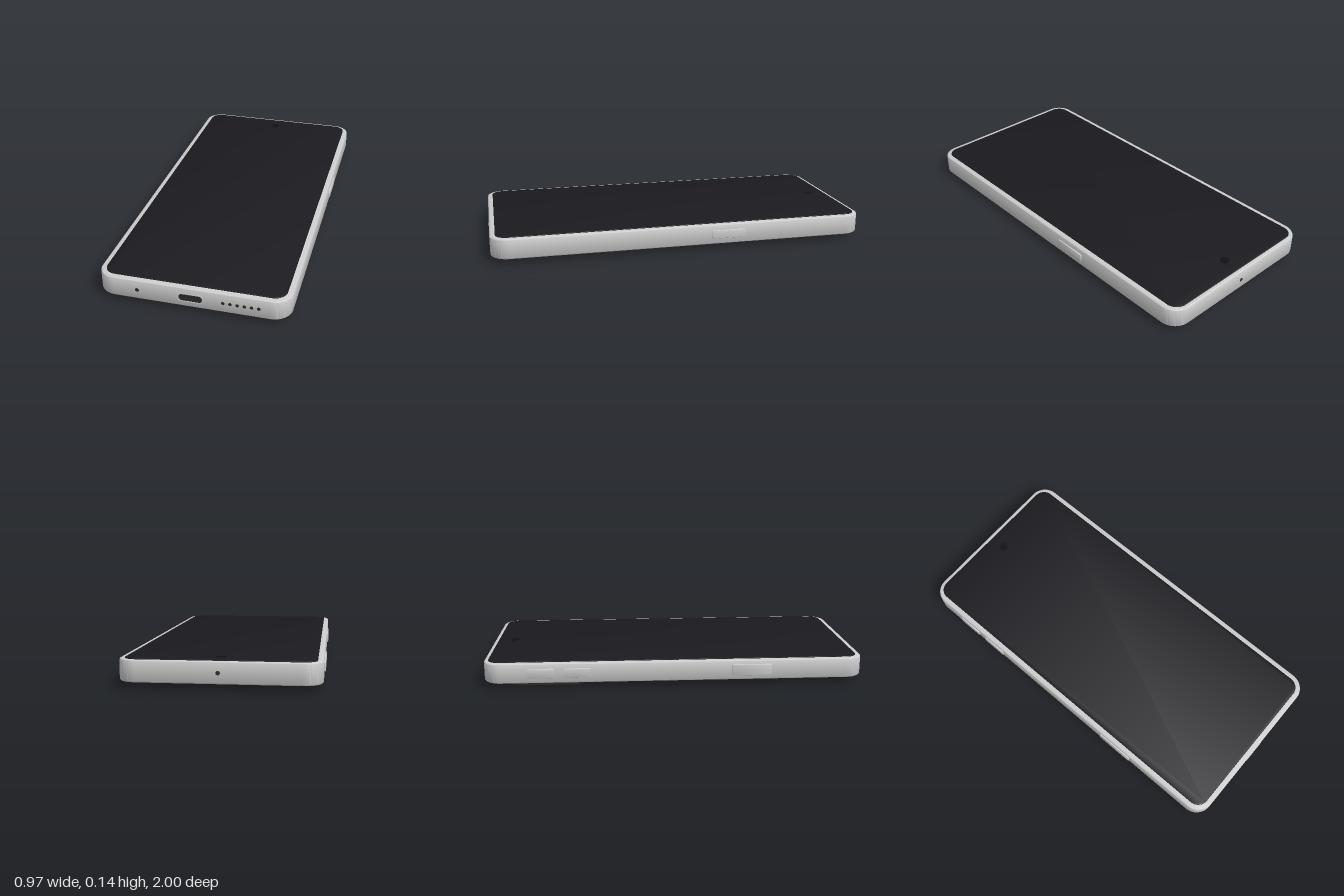
import * as THREE from 'three';
import { toCreasedNormals } from 'three/addons/utils/BufferGeometryUtils.js';

const mat = (color) => new THREE.MeshStandardMaterial({ color });
const grey = mat(0xcccccc);
const glass = mat(0x1b1a1f);
const dark = mat(0x2b2c2e);
const black = mat(0x111113);

function roundedRect(w, h, r, Type = THREE.Shape) {
  const x = w / 2, y = h / 2, q = Math.PI / 2, s = new Type();
  s.absarc(x - r, y - r, r, 0, q);
  s.absarc(-x + r, y - r, r, q, 2 * q);
  s.absarc(-x + r, -y + r, r, 2 * q, 3 * q);
  s.absarc(x - r, -y + r, r, 3 * q, 4 * q);
  s.closePath();
  return s;
}

// Rounded plate of outer size w x h, reaching from z = 0 to z = depth
function plate(w, h, r, depth, bevel = 0) {
  const g = new THREE.ExtrudeGeometry(roundedRect(w - 2 * bevel, h - 2 * bevel, r - bevel), {
    depth: depth - 2 * bevel, bevelEnabled: bevel > 0, bevelThickness: bevel,
    bevelSize: bevel, bevelSegments: 4, curveSegments: 12,
  });
  g.translate(0, 0, bevel);
  return toCreasedNormals(g, 0.6);
}

export function createModel() {
  const phone = new THREE.Group();
  phone.name = 'phone';
  const add = (name, geometry, material, x, y, z) => {
    const m = new THREE.Mesh(geometry, material);
    m.name = name;
    m.position.set(x, y, z);
    phone.add(m);
    return m;
  };
  // Plate lying flat, growing upwards from y
  const addFlat = (name, geometry, material, x, y, z) => {
    add(name, geometry, material, x, y, z).rotation.x = -Math.PI / 2;
  };
  const disc = (r, h) => new THREE.CylinderGeometry(r, r, h, 32);

  // Body and screen
  addFlat('body', plate(0.956, 1.994, 0.092, 0.106, 0.01), grey, 0, 0.032, 0);
  addFlat('screen', plate(0.9, 1.944, 0.062, 0.012, 0.003), glass, 0, 0.13, -0.003);
  add('frontCamera', disc(0.024, 0.002), black, 0, 0.1425, -0.885);

  // Camera block under the back, with three lenses and a flash
  addFlat('cameraBlock', plate(0.4, 0.4, 0.06, 0.03, 0.004), dark, -0.24, 0.008, -0.67);
  const lensProfile = [[0, 0.002], [0.052, 0.002], [0.056, 0], [0.068, 0], [0.07, 0.002], [0.07, 0.012]]
    .map(([r, y]) => new THREE.Vector2(r, y));
  for (const [x, z] of [[-0.165, -0.77], [-0.345, -0.77], [-0.255, -0.57]]) {
    add('lens', toCreasedNormals(new THREE.LatheGeometry(lensProfile, 40), 0.5), dark, x, 0, z);
    add('lensGlass', disc(0.045, 0.004), black, x, 0.003, z);
  }
  add('flash', disc(0.02, 0.004), dark, -0.09, 0.008, -0.66);

  // Side buttons: side, z centre, length, height
  for (const [name, side, z, length, height] of [
    ['powerButton', 1, -0.238, 0.185, 0.044],
    ['volumeUpButton', -1, -0.7, 0.14, 0.05],
    ['volumeDownButton', -1, -0.51, 0.14, 0.05],
    ['sideKey', -1, 0.4, 0.21, 0.06],
  ]) {
    const button = add(name, plate(length, height, 0.008, 0.02, 0.002), grey, side * 0.465, 0.086, z);
    button.rotation.y = side * Math.PI / 2;
  }

  // Charging port: rim with a dark opening
  const rim = roundedRect(0.128, 0.046, 0.02);
  rim.holes.push(roundedRect(0.116, 0.036, 0.016, THREE.Path));
  const rimGeometry = new THREE.ExtrudeGeometry(rim, { depth: 0.01, bevelEnabled: false, curveSegments: 12 });
  add('portRim', toCreasedNormals(rimGeometry, 0.6), grey, 0, 0.085, 0.989);
  add('portOpening', plate(0.118, 0.038, 0.017, 0.006), dark, 0, 0.085, 0.992);

  // Microphone and speaker holes
  const hole = (name, x, z, r) => {
    add(name, disc(r, 0.004), dark, x, 0.085, z).rotation.x = Math.PI / 2;
  };
  hole('bottomMicrophone', -0.267, 0.996, 0.01);
  hole('topMicrophone', 0, -0.996, 0.01);
  for (let i = 0; i < 6; i++) hole('speakerHole', 0.159 + i * 0.0345, 0.996, 0.0085);

  return phone;
}
